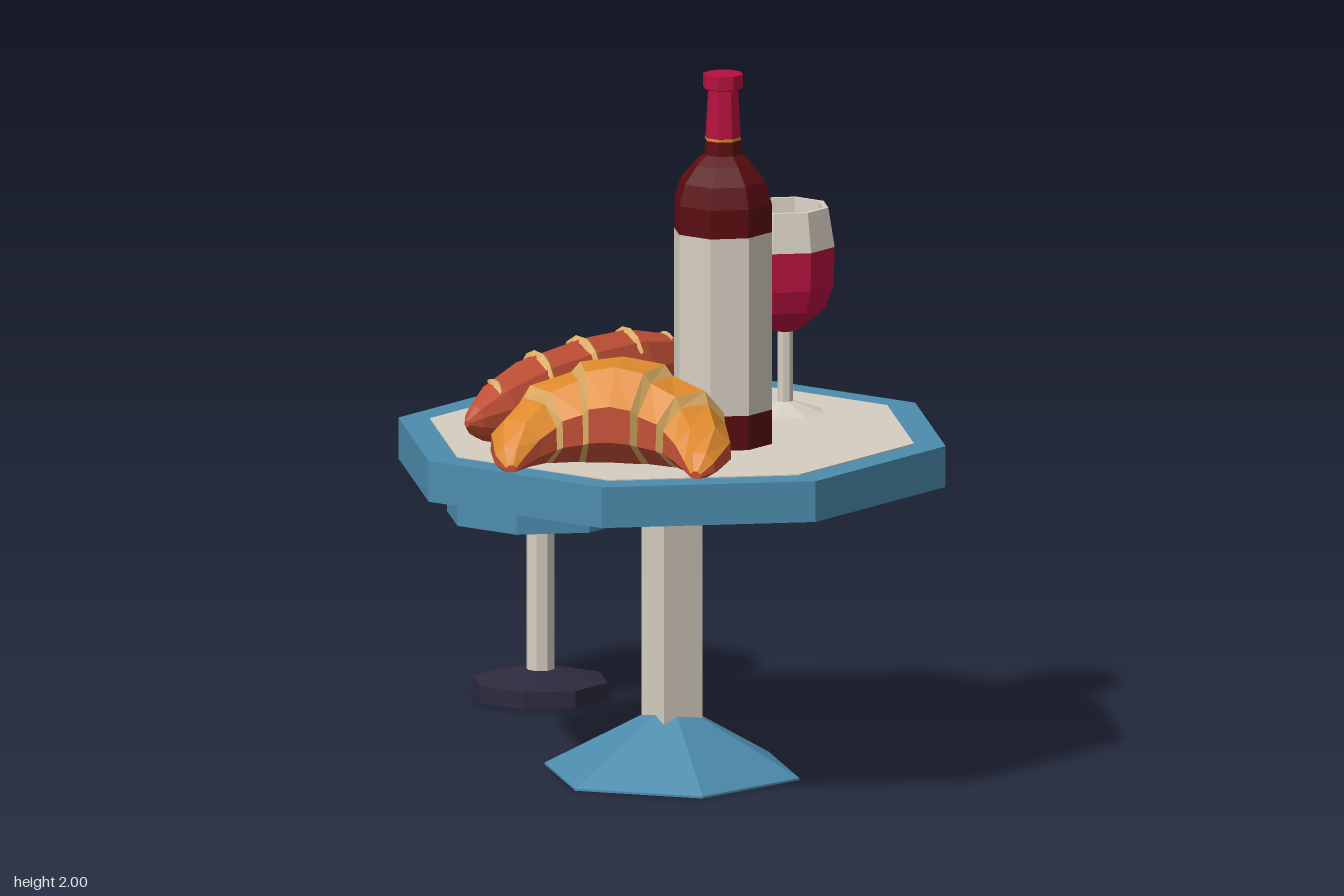
import * as THREE from 'three';

const mat = (name, color) => {
  const m = new THREE.MeshStandardMaterial({ color });
  m.name = name;
  return m;
};
const blue = mat('blue paint', 0x4d8cad);
const cream = mat('cream', 0xd6cdc0);
const dark = mat('dark rubber', 0x2e2a3d);
const bottleRed = mat('dark bottle glass', 0x5a0c10);
const wineRed = mat('wine red', 0xb5103f);
const crust = mat('bread crust', 0xc24f35);
const gold = mat('golden pastry', 0xdf8a2c);
const crumb = mat('pale crumb', 0xd9aa62);

const TURN = -0.084; // slight turn shared by the eight-sided parts
const TOP = 0.96; // height of the tabletop

// Faceted mesh from any geometry
function part(name, geometry, material) {
  const g = geometry.index ? geometry.toNonIndexed() : geometry;
  g.computeVertexNormals();
  const m = new THREE.Mesh(g, material);
  m.name = name;
  return m;
}

// Turned part from [radius, y] points, bottom to top
function turned(name, profile, material, sides = 8, start = TURN) {
  const pts = profile.map(([r, y]) => new THREE.Vector2(r, y));
  return part(name, new THREE.LatheGeometry(pts, sides, start), material);
}

// Closed skin over rings of points; pick(i, j) gives the material index of a face
function loft(name, rings, materials, pick = () => 0) {
  const pos = [];
  const geo = new THREE.BufferGeometry();
  const add = (index, ...pts) => {
    geo.addGroup(pos.length / 3, pts.length, index);
    pts.forEach((p) => pos.push(p.x, p.y, p.z));
  };
  const n = rings[0].length;
  const last = rings.length - 1;
  for (let i = 0; i < last; i++) {
    for (let j = 0; j < n; j++) {
      const k = (j + 1) % n;
      const a = rings[i][j], b = rings[i][k], c = rings[i + 1][k], d = rings[i + 1][j];
      add(pick(i, j), a, b, c, a, c, d);
    }
  }
  for (let j = 1; j < n - 1; j++) {
    add(0, rings[0][0], rings[0][j + 1], rings[0][j]);
    add(0, rings[last][0], rings[last][j], rings[last][j + 1]);
  }
  geo.setAttribute('position', new THREE.Float32BufferAttribute(pos, 3));
  return part(name, geo, materials);
}

function group(name, x, z, ...parts) {
  const g = new THREE.Group();
  g.name = name;
  g.position.set(x, 0, z);
  g.add(...parts);
  return g;
}

function makeTable() {
  return group('table', 0.005, 0.217,
    turned('tabletop', [[0, 0.845], [0.78, 0.845], [0.78, TOP], [0, TOP]], blue),
    turned('tabletopInlay', [[0.69, TOP], [0.69, TOP + 0.003], [0, TOP + 0.003]], cream),
    turned('tableLeg', [[0.0875, 0.1], [0.0875, 0.85]], cream, 4),
    turned('tableFoot', [[0, 0], [0.367, 0], [0.367, 0.006], [0, 0.205]], blue, 6, 0.4));
}

function makeStool() {
  return group('stool', -0.525, -0.735,
    turned('stoolSeat', [[0, 0.51], [0.266, 0.51], [0.266, 0.68], [0.235, 0.71], [0, 0.71]], blue),
    turned('stoolStem', [[0.018, 0], [0.04, 0], [0.04, 0.52]], cream),
    turned('stoolFoot', [[0, 0.002], [0.192, 0.002], [0.192, 0.05], [0.05, 0.08], [0, 0.08]], dark));
}

function makeBottle() {
  return group('bottle', 0.168, 0.335,
    turned('bottleBase', [[0, TOP], [0.139, TOP], [0.139, 1.06]], bottleRed),
    turned('bottleLabel', [[0.14, 1.06], [0.14, 1.56]], cream),
    turned('bottleShoulder', [[0.139, 1.56], [0.139, 1.64], [0.122, 1.7], [0.083, 1.748],
      [0.053, 1.775], [0.051, 1.815]], bottleRed),
    turned('neckBand', [[0.051, 1.815], [0.051, 1.823]], gold),
    turned('bottleCapsule', [[0.05, 1.823], [0.043, 1.957], [0.057, 1.962], [0.057, 2], [0, 2]], wineRed));
}

function makeGlass() {
  return group('wineGlass', 0.27, -0.09,
    turned('glassFoot', [[0, TOP], [0.112, TOP + 0.004], [0.022, 0.995]], cream),
    turned('glassStem', [[0.022, 0.98], [0.022, 1.2]], cream),
    turned('wine', [[0, 1.195], [0.035, 1.195], [0.113, 1.26], [0.138, 1.325], [0.141, 1.435], [0, 1.436]], wineRed),
    turned('glassBowl', [[0.141, 1.435], [0.123, 1.545], [0.108, 1.545], [0.098, 1.436]], cream));
}

function makeBaguette() {
  const dir = new THREE.Vector3(-0.436, 0, 0.9);
  const side = new THREE.Vector3(0.9, 0, 0.436);
  const DEG = Math.PI / 180;
  // Point on the loaf: u runs -1..1 along it, a is the angle round it
  const surface = (u, a, grow = 1) => {
    const k = Math.pow(1 - Math.pow(Math.abs(u), 2.6), 0.75) * grow;
    const p = dir.clone().multiplyScalar(u * 0.55);
    p.addScaledVector(side, 0.115 * k * Math.cos(a * DEG));
    p.y = Math.max(TOP + 0.003, 1.04 + 0.148 * k * Math.sin(a * DEG));
    return p;
  };
  const rings = [-0.99, -0.92, -0.74, -0.4, 0, 0.4, 0.74, 0.92, 0.99].map((u) =>
    Array.from({ length: 10 }, (_, j) => surface(u, j * 36 - 18)));
  const g = group('baguette', -0.27, 0.095, loft('loaf', rings, [crust]));

  // Slanted scores across the top: [place, half slant, half sweep in degrees]
  [[-0.72, 0.04, 32], [-0.39, 0.085, 52], [0, 0.095, 60], [0.37, 0.085, 52], [0.74, 0.04, 32]]
    .forEach(([u0, slant, sweep]) => {
      const cuts = [-1, -0.6, -0.2, 0.2, 0.6, 1].map((t) => {
        const u = u0 - slant * t;
        const a = 90 + sweep * t;
        const w = 0.004 + 0.04 * (1 - t * t) * (sweep / 60);
        return [surface(u + w, a, 0.97), surface(u, a, 1.06), surface(u - w, a, 0.97)];
      });
      g.add(loft('score', cuts, [crumb]));
    });
  return g;
}

function makeCroissant() {
  // Right half of the spine: [x, z, radius, heading]
  const half = [
    [0, 0.585, 0.175, 0], [0.1, 0.6, 0.166, 0.27], [0.122, 0.606, 0.148, 0.33],
    [0.21, 0.655, 0.13, 0.7], [0.224, 0.67, 0.11, 0.8], [0.262, 0.755, 0.083, 1.2],
    [0.264, 0.825, 0.045, 1.6], [0.258, 0.85, 0.015, 1.7],
  ];
  const mirrored = half.slice(1).reverse().map(([x, z, r, h]) => [-x, z, r, -h]);
  const angles = [-60, -15, 20, 65, 115, 160, 195, 240].map((d) => d * Math.PI / 180);
  const rings = [...mirrored, ...half].map(([x, z, r, h]) => angles.map((a) => new THREE.Vector3(
    x + r * Math.cos(a) * Math.sin(h),
    Math.max(TOP + 0.003, TOP + r * (0.68 + 0.95 * Math.sin(a))),
    z - r * Math.cos(a) * Math.cos(h))));
  // Pale creases between the rolls, golden upper faces, browned lower faces
  const creases = [3, 5, 8, 10];
  const pick = (i, j) => (creases.includes(i) ? 2 : j >= 2 && j <= 4 ? 1 : 0);
  return group('croissant', -0.08, 0, loft('pastry', rings, [crust, gold, crumb], pick));
}

export function createModel() {
  const model = new THREE.Group();
  model.name = 'bistroTableSet';
  model.add(makeTable(), makeStool(), makeBottle(), makeGlass(), makeBaguette(), makeCroissant());
  return model;
}
